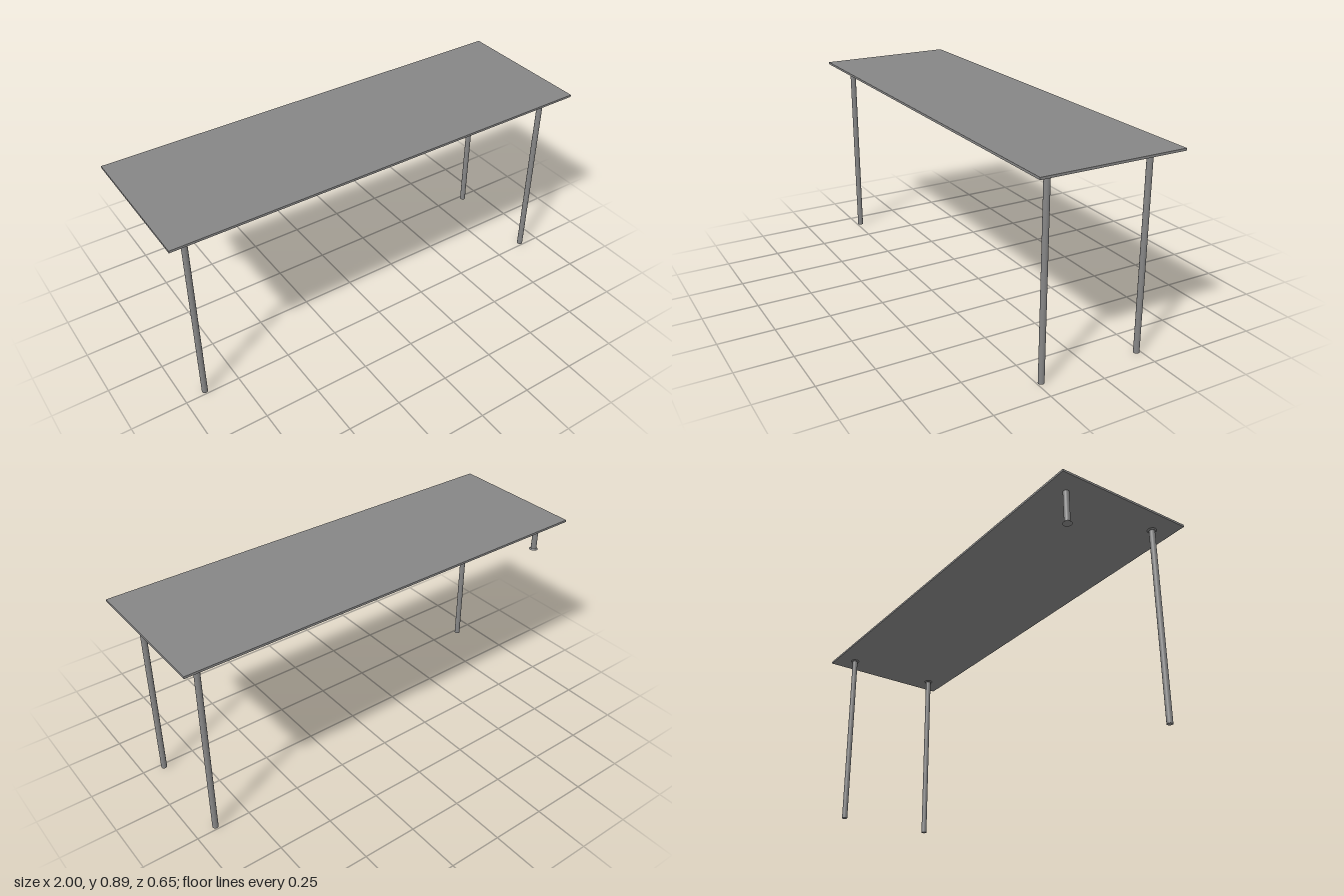
import * as THREE from 'three';

const LEG_X = 0.905, LEG_Z = 0.232, LEG_R = 0.0131;
const TOP_BOTTOM = 0.881, TOP_Y = 0.891;
const POST_BOTTOM = 0.731, FLANGE_R = 0.0205, FLANGE_H = 0.005;

export function createModel() {
  const table = new THREE.Group();
  table.name = 'table';
  const material = new THREE.MeshStandardMaterial({ color: 0x868686 });

  const add = (parent, name, geometry, y) => {
    const mesh = new THREE.Mesh(geometry, material);
    mesh.name = name;
    mesh.position.y = y;
    parent.add(mesh);
  };

  // Thin rectangular slab
  const thickness = TOP_Y - TOP_BOTTOM;
  add(table, 'tabletop', new THREE.BoxGeometry(2, thickness, 0.648), TOP_BOTTOM + thickness / 2);

  // Round tube between two heights
  const tube = (from, to) => new THREE.CylinderGeometry(LEG_R, LEG_R, to - from, 32);

  for (const sx of [-1, 1]) {
    for (const sz of [-1, 1]) {
      const leg = new THREE.Group();
      leg.position.set(sx * LEG_X, 0, sz * LEG_Z);
      table.add(leg);

      if (sx < 0 && sz < 0) {
        // Short back post ending in a flared disc
        leg.name = 'shortPost';
        add(leg, 'postTube', tube(POST_BOTTOM, TOP_BOTTOM), (POST_BOTTOM + TOP_BOTTOM) / 2);
        add(leg, 'postFlange', new THREE.CylinderGeometry(0.015, FLANGE_R, FLANGE_H, 32), POST_BOTTOM + FLANGE_H / 2);
      } else {
        // Full leg with a flared mounting plate under the top
        leg.name = 'leg';
        add(leg, 'legTube', tube(0, TOP_BOTTOM), TOP_BOTTOM / 2);
        add(leg, 'mountingPlate', new THREE.CylinderGeometry(FLANGE_R, 0.015, FLANGE_H, 32), TOP_BOTTOM - FLANGE_H / 2);
      }
    }
  }
  return table;
}
